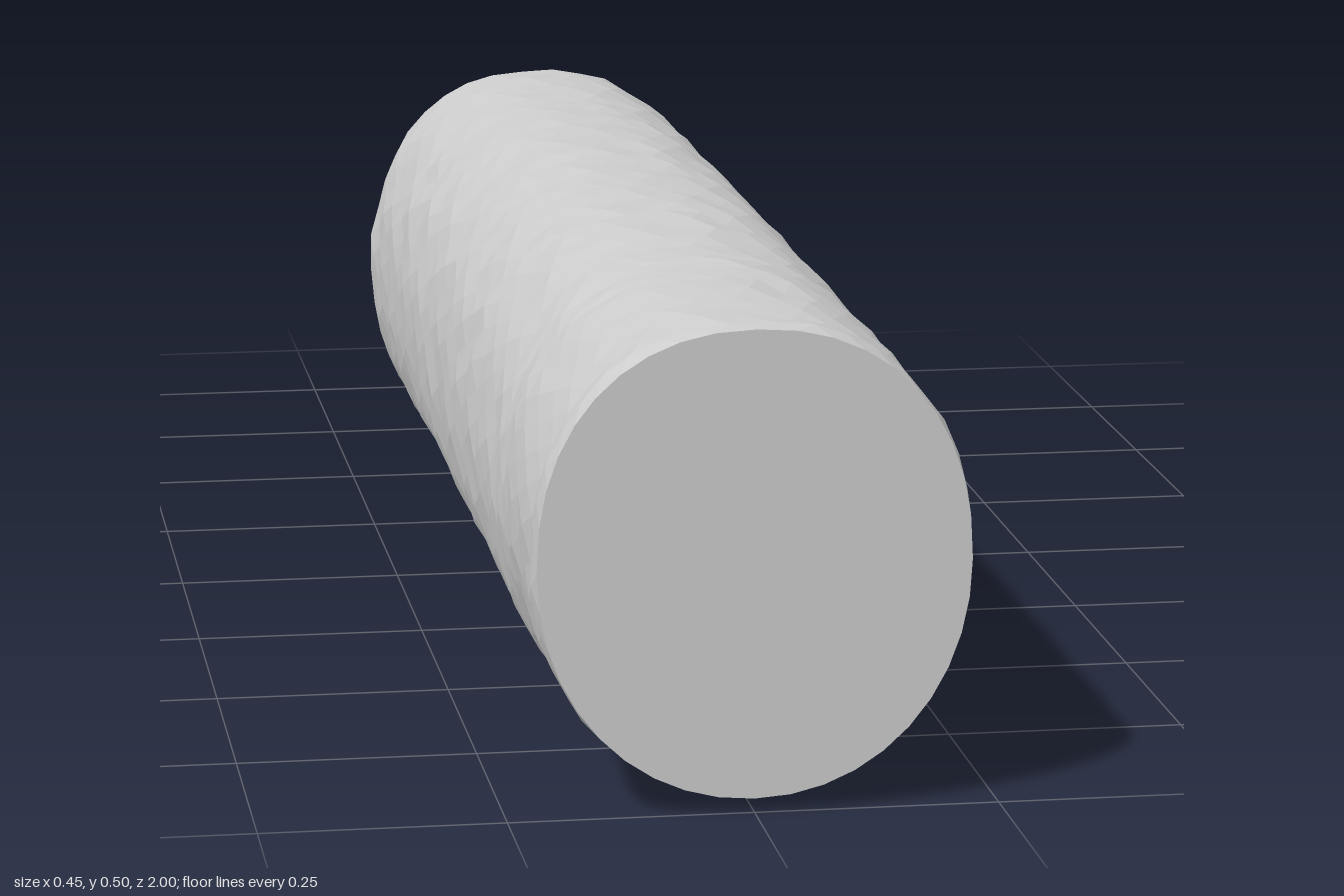
import * as THREE from 'three';

// cross-sections along the shaft: z, half width, bottom y, top y
const STATIONS = [
  [1, 0.220, 0.016, 0.497], [0.98, 0.222, 0.016, 0.501], [0.76, 0.220, 0.022, 0.502],
  [0.73, 0.220, 0.012, 0.502], [0.715, 0.220, 0.001, 0.502], [0.66, 0.220, 0.004, 0.502],
  [0.4, 0.219, 0.008, 0.503], [0, 0.217, 0.008, 0.500], [-0.4, 0.217, 0.006, 0.494],
  [-0.58, 0.217, 0.004, 0.490], [-0.64, 0.207, 0.007, 0.487], [-0.70, 0.173, 0.024, 0.470],
  [-0.75, 0.137, 0.053, 0.440], [-0.80, 0.106, 0.090, 0.402], [-0.85, 0.078, 0.125, 0.367],
  [-0.90, 0.053, 0.162, 0.333], [-0.95, 0.034, 0.184, 0.292], [-0.98, 0.024, 0.194, 0.268],
  [-1, 0.012, 0.210, 0.246],
];
const SIDES = 40;

function sectionAt(z) {
  let i = 0;
  while (i < STATIONS.length - 2 && z < STATIONS[i + 1][0]) i++;
  const a = STATIONS[i], b = STATIONS[i + 1];
  const t = (a[0] - z) / (a[0] - b[0]);
  return a.map((v, k) => v + (b[k] - v) * t);
}

// small seeded generator for the rough surface
function seeded(seed) {
  return () => {
    seed = (seed * 16807) % 2147483647;
    return seed / 2147483647 - 0.5;
  };
}

const power = (v, e) => Math.sign(v) * Math.abs(v) ** e;

function buildShaft() {
  const rand = seeded(41);
  // evenly spaced rings merged with the stations
  const levels = new Set(STATIONS.map((s) => s[0]));
  for (let k = 1; k < 44; k++) {
    const z = +(1 - k * 0.0455).toFixed(3);
    if (![...levels].some((l) => Math.abs(l - z) < 0.014)) levels.add(z);
  }
  const zs = [...levels].sort((a, b) => b - a);

  const pos = [], index = [];
  zs.forEach((z, r) => {
    const [, w, lo, hi] = sectionAt(z);
    const end = r === 0 || r === zs.length - 1;
    const rough = end ? 0 : z < -0.87 ? 0.011 : 0.0045;
    for (let j = 0; j < SIDES; j++) {
      const a = ((j + (r % 2) * 0.5) / SIDES) * Math.PI * 2;
      const c = Math.cos(a), s = Math.sin(a);
      const e = s > 0 ? 0.9 : 0.97;
      const n = rough * rand();
      pos.push(
        power(c, e) * w + c * n,
        Math.max(0, (lo + hi) / 2 + (power(s, e) * (hi - lo)) / 2 + s * n),
        z + (end ? 0 : rand() * 0.008),
      );
    }
  });
  for (let r = 0; r < zs.length - 1; r++) {
    for (let j = 0; j < SIDES; j++) {
      const k = (j + 1) % SIDES;
      const a = r * SIDES + j, b = r * SIDES + k;
      const c = a + SIDES, d = b + SIDES;
      if (r % 2) index.push(a, d, b, a, c, d);
      else index.push(a, c, b, b, c, d);
    }
  }
  // tip cap
  const last = (zs.length - 1) * SIDES;
  pos.push(0, 0.228, -1);
  for (let j = 0; j < SIDES; j++) index.push(pos.length / 3 - 1, last + ((j + 1) % SIDES), last + j);

  const shaft = new THREE.BufferGeometry();
  shaft.setAttribute('position', new THREE.Float32BufferAttribute(pos, 3));
  shaft.setIndex(index);
  shaft.computeVertexNormals();

  // flat end face shares the first ring's outline
  const rim = [];
  for (let j = 0; j < SIDES; j++) rim.push(new THREE.Vector2(pos[j * 3], pos[j * 3 + 1]));
  const face = new THREE.ShapeGeometry(new THREE.Shape(rim));
  face.translate(0, 0, 1);
  return { shaft, face };
}

export function createModel() {
  const group = new THREE.Group();
  group.name = 'pointedShaft';
  const material = new THREE.MeshStandardMaterial({ color: 0xcccccc, flatShading: true });
  const { shaft, face } = buildShaft();
  for (const [name, geometry] of [['shaftAndTip', shaft], ['endFace', face]]) {
    const mesh = new THREE.Mesh(geometry, material);
    mesh.name = name;
    group.add(mesh);
  }
  return group;
}
